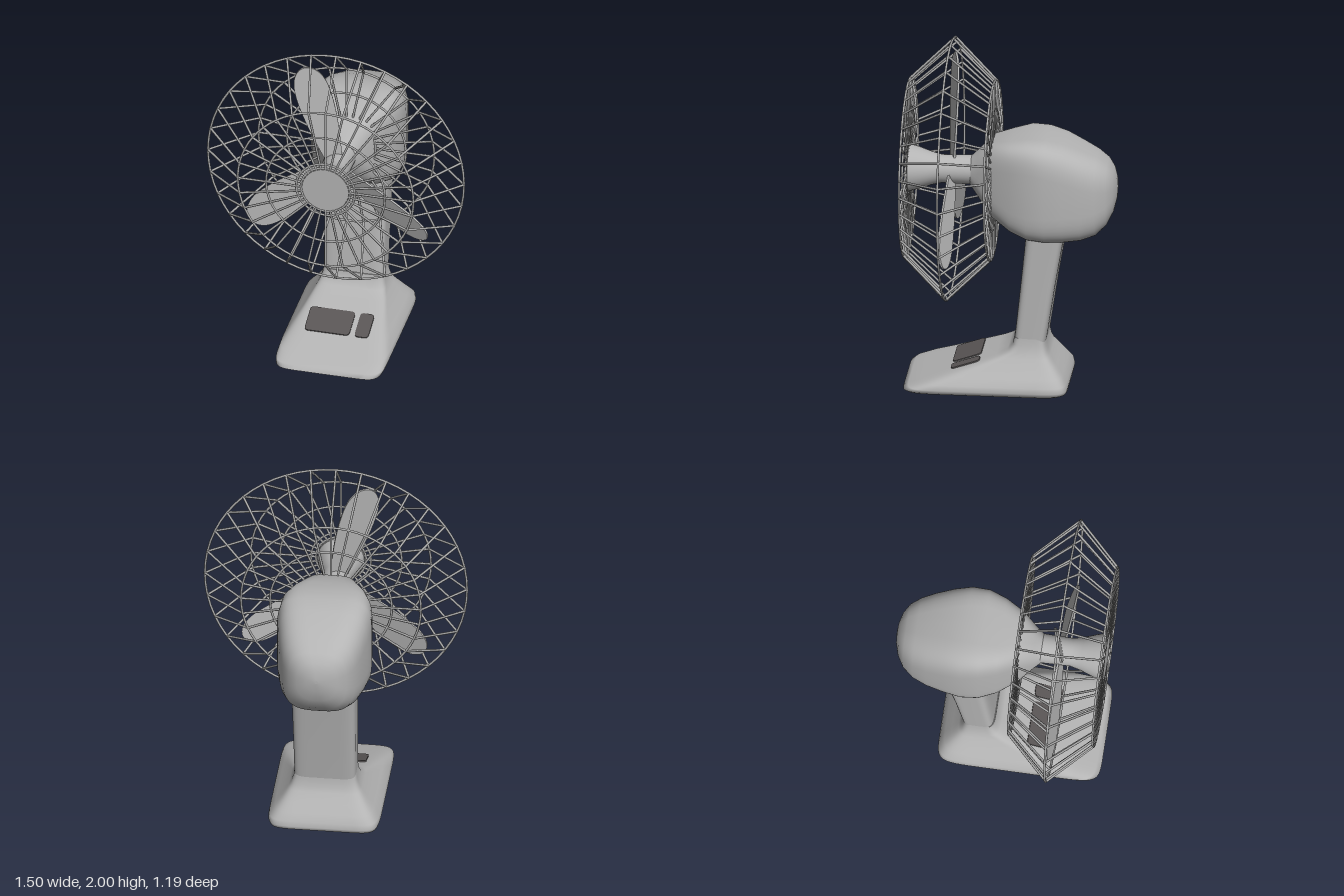
import * as THREE from 'three';

const mat = (name, color, side = THREE.FrontSide) => {
  const m = new THREE.MeshStandardMaterial({ color, side });
  m.name = name;
  return m;
};

// Skin through superellipse sections: [t, halfWidth, low, high, squareness]
function loft(rows, place, n = 48) {
  const pos = [], idx = [];
  const ring = ([t, a, lo, hi, e]) => {
    const start = pos.length / 3;
    for (let i = 0; i < n; i++) {
      const th = (i / n) * Math.PI * 2, c = Math.cos(th), s = Math.sin(th);
      const u = a * Math.sign(c) * Math.abs(c) ** (2 / e);
      const v = (lo + hi) / 2 + ((hi - lo) / 2) * Math.sign(s) * Math.abs(s) ** (2 / e);
      pos.push(...place(u, v, t));
    }
    return start;
  };
  const starts = rows.map(ring);
  for (let k = 0; k < starts.length - 1; k++) {
    for (let i = 0; i < n; i++) {
      const j = (i + 1) % n, a = starts[k], b = starts[k + 1];
      idx.push(a + i, b + i, a + j, b + i, b + j, a + j);
    }
  }
  // Flat caps with their own vertices
  [rows[0], rows[rows.length - 1]].forEach((row, end) => {
    const s = ring(row), c = pos.length / 3;
    pos.push(...place(0, (row[2] + row[3]) / 2, row[0]));
    for (let i = 0; i < n; i++) {
      const j = (i + 1) % n;
      idx.push(c, s + (end ? j : i), s + (end ? i : j));
    }
  });
  const g = new THREE.BufferGeometry();
  g.setAttribute('position', new THREE.Float32BufferAttribute(pos, 3));
  g.setIndex(idx);
  g.computeVertexNormals();
  return g;
}

const alongY = (u, v, t) => [u, t, v];
const alongZ = (u, v, t) => [u, v, t];

export function createModel() {
  const model = new THREE.Group();
  const body = mat('body grey', 0xb4b4b4);
  const wire = mat('wire grey', 0xa8a8a8);
  const dark = mat('control panel grey', 0x5a5656);
  const add = (name, geometry, material, parent = model) => {
    const m = new THREE.Mesh(geometry, material);
    m.name = name;
    parent.add(m);
    return m;
  };
  const axisY = 1.25;

  // Wedge-shaped foot sweeping up into the column
  add('base', loft([
    [0, 0.295, -0.31, 0.58, 9],
    [0.012, 0.312, -0.33, 0.598, 9],
    [0.03, 0.318, -0.332, 0.57, 9],
    [0.06, 0.312, -0.325, 0.484, 9],
    [0.1, 0.28, -0.3, 0.368, 8],
    [0.15, 0.242, -0.262, 0.223, 8],
    [0.2, 0.208, -0.225, 0.078, 7],
    [0.23, 0.192, -0.212, 0.015, 6],
    [0.27, 0.18, -0.203, -0.015, 6],
    [0.31, 0.175, -0.2, -0.02, 6],
  ], alongY, 64), body);

  // Column leaning slightly back
  add('column', loft([
    [0.27, 0.175, -0.2, -0.02, 6],
    [0.6, 0.178, -0.25, -0.055, 6],
    [0.95, 0.182, -0.31, -0.09, 6],
  ], alongY), body);

  // Two dark control plates lying on the slope
  for (const [x0, x1] of [[-0.19, 0.07], [0.1, 0.18]]) {
    const w = (x1 - x0) / 2, h = 0.085, r = 0.025;
    const s = new THREE.Shape();
    s.moveTo(-w + r, -h);
    s.lineTo(w - r, -h);
    s.quadraticCurveTo(w, -h, w, -h + r);
    s.lineTo(w, h - r);
    s.quadraticCurveTo(w, h, w - r, h);
    s.lineTo(-w + r, h);
    s.quadraticCurveTo(-w, h, -w, h - r);
    s.lineTo(-w, -h + r);
    s.quadraticCurveTo(-w, -h, -w + r, -h);
    const plate = add('controlPanel', new THREE.ExtrudeGeometry(s, { depth: 0.008, bevelEnabled: false }), dark);
    plate.rotation.x = -(Math.PI / 2 - Math.atan(0.345));
    plate.position.set((x0 + x1) / 2, 0.139, 0.25);
  }

  // Motor housing, from the shaft nose to the rounded back
  add('motorHousing', loft([
    [0.235, 0.08, 1.16, 1.33, 2],
    [0.19, 0.11, 1.1, 1.37, 2.5],
    [0.11, 0.165, 1.0, 1.445, 4],
    [0.0, 0.225, 0.935, 1.465, 5],
    [-0.1, 0.26, 0.895, 1.487, 5],
    [-0.2, 0.27, 0.882, 1.482, 4.5],
    [-0.3, 0.255, 0.88, 1.457, 4],
    [-0.4, 0.232, 0.887, 1.412, 3.6],
    [-0.48, 0.205, 0.912, 1.375, 3.2],
    [-0.54, 0.165, 0.97, 1.335, 3],
    [-0.575, 0.115, 1.04, 1.29, 2.6],
    [-0.592, 0.06, 1.11, 1.24, 2.2],
    [-0.597, 0.01, 1.165, 1.185, 2],
  ], alongZ), body);

  // Shaft flaring to a flat front cap
  const hubProfile = [[0.085, 0.15], [0.083, 0.25], [0.08, 0.4], [0.095, 0.46], [0.12, 0.53], [0.135, 0.588]]
    .map(([r, z]) => new THREE.Vector2(r, z));
  const hub = add('hub', new THREE.LatheGeometry(hubProfile, 32).rotateX(Math.PI / 2), body);
  hub.position.y = axisY;
  const cap = add('hubCap', new THREE.CylinderGeometry(0.135, 0.135, 0.014, 32).rotateX(Math.PI / 2), body);
  cap.position.set(0, axisY, 0.588);

  // Three pitched blades
  const blades = new THREE.Group();
  blades.name = 'blades';
  blades.position.set(0, axisY, 0.34);
  model.add(blades);
  for (const [deg, w, pitch] of [[106, 0.1, 0.3], [220, 0.105, 0.2], [322, 0.085, 0.35]]) {
    const s = new THREE.Shape();
    s.moveTo(0.04, -w * 0.45);
    s.bezierCurveTo(0.25, -w * 0.9, 0.4, -w * 1.05, 0.52, -w * 0.95);
    s.bezierCurveTo(0.62, -w * 0.85, 0.67, -w * 0.3, 0.66, w * 0.2);
    s.bezierCurveTo(0.64, w * 0.85, 0.56, w, 0.48, w);
    s.bezierCurveTo(0.35, w, 0.2, w * 0.75, 0.04, w * 0.45);
    const g = new THREE.ExtrudeGeometry(s, { depth: 0.012, bevelEnabled: false, curveSegments: 10 });
    g.translate(0, 0, -0.006).rotateX(pitch);
    add('blade', g, body, blades).rotation.z = THREE.MathUtils.degToRad(deg);
  }

  // Wire guard: concentric rings and bent radial wires, front and back
  const cage = new THREE.Group();
  cage.name = 'guard';
  cage.position.y = axisY;
  model.add(cage);
  const mid = 0.35, half = 0.24, wireR = 0.007;
  const addRing = (r, z) => {
    add('guardRing', new THREE.TorusGeometry(r, wireR, 6, 64), wire, cage).position.z = z;
  };
  addRing(0.743, mid);
  for (const side of [1, -1]) {
    for (const r of [0.51, 0.345, 0.17, 0.143]) addRing(r, mid + side * half);
  }
  const addRod = (a, b, angle) => {
    const dir = b.clone().sub(a);
    const g = new THREE.CylinderGeometry(wireR, wireR, dir.length(), 6);
    g.applyQuaternion(new THREE.Quaternion().setFromUnitVectors(new THREE.Vector3(0, 1, 0), dir.clone().normalize()));
    g.translate((a.x + b.x) / 2, (a.y + b.y) / 2, (a.z + b.z) / 2);
    add('guardWire', g, wire, cage).rotation.z = angle;
  };
  const count = 32;
  for (let i = 0; i < count; i++) {
    const angle = (i / count) * Math.PI * 2;
    for (const side of [1, -1]) {
      const z = mid + side * half;
      const bend = new THREE.Vector3(0.51, 0, z);
      addRod(new THREE.Vector3(0.135, 0, z), bend, angle);
      addRod(bend, new THREE.Vector3(0.743, 0, mid), angle);
    }
  }
  return model;
}
